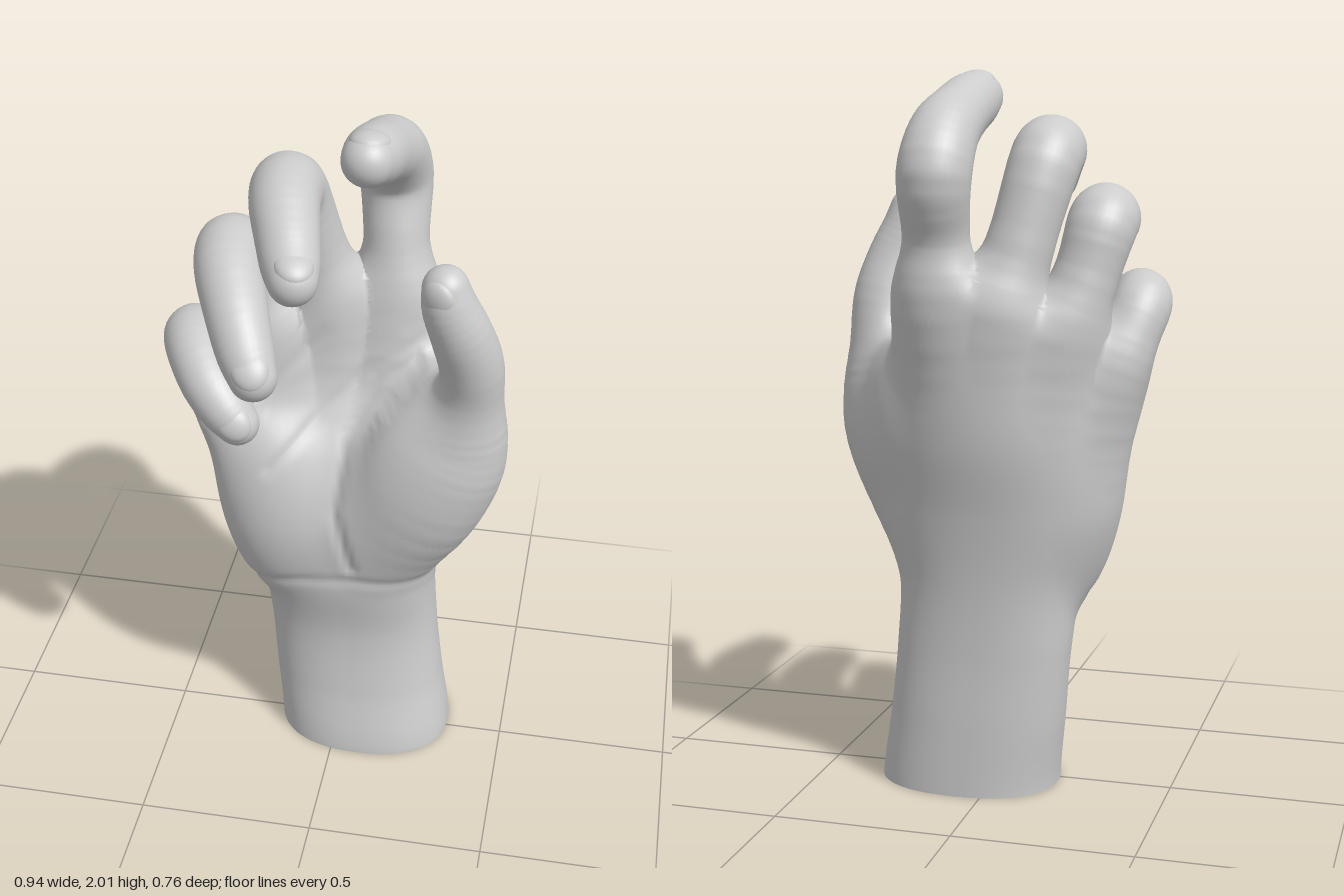
import * as THREE from 'three';

const V = (x, y, z) => new THREE.Vector3(x, y, z);
const { clamp, smoothstep } = THREE.MathUtils;
const skin = new THREE.MeshStandardMaterial({ color: 0xcccccc, roughness: 0.8 });

// Forearm and palm sections every 0.2 in y: centre x, half width, centre z, half depth, arch
const SECTIONS = [
  [0.078, 0.257, -0.03, 0.2, 0], [0.052, 0.252, -0.05, 0.176, 0], [0.032, 0.25, -0.058, 0.16, 0],
  [0.015, 0.262, -0.05, 0.172, 0.1], [-0.005, 0.322, -0.065, 0.18, 0.25], [-0.035, 0.338, -0.12, 0.165, 0.6],
  [-0.075, 0.335, -0.19, 0.118, 1], [-0.1, 0.32, -0.218, 0.1, 1.1], [-0.1, 0.28, -0.218, 0.08, 1.1],
];
const POWER = 2.3;

// Digits: joint centres with radius, the way the nail faces, and the blend width into the palm
const DIGITS = {
  indexFinger: { nail: [0, 1, 0], blend: 0.09, path: [
    [0.1, 1.12, -0.13, 0.06], [0.122, 1.38, -0.215, 0.1], [0.113, 1.56, -0.235, 0.09], [0.103, 1.73, -0.282, 0.1],
    [0.1, 1.83, -0.212, 0.095], [0.092, 1.885, -0.1, 0.085], [0.085, 1.916, -0.01, 0.081], [0.08, 1.932, 0.054, 0.069]] },
  middleFinger: { nail: [0.2, 1, 0.3], blend: 0.09, path: [
    [-0.04, 1.12, -0.13, 0.06], [-0.055, 1.38, -0.163, 0.1], [-0.105, 1.58, -0.14, 0.092], [-0.147, 1.77, -0.07, 0.098],
    [-0.138, 1.787, 0.04, 0.093], [-0.108, 1.745, 0.15, 0.084], [-0.088, 1.708, 0.215, 0.077], [-0.073, 1.69, 0.265, 0.065]] },
  ringFinger: { nail: [0.2, 0.5, 1], blend: 0.09, path: [
    [-0.16, 1.04, -0.09, 0.06], [-0.21, 1.3, -0.108, 0.1], [-0.265, 1.47, -0.08, 0.09], [-0.295, 1.595, -0.035, 0.097],
    [-0.283, 1.6, 0.07, 0.093], [-0.235, 1.54, 0.2, 0.084], [-0.197, 1.472, 0.275, 0.076], [-0.17, 1.425, 0.314, 0.064]] },
  littleFinger: { nail: [0.1, 0.4, 1], blend: 0.08, path: [
    [-0.26, 0.94, -0.03, 0.05], [-0.325, 1.17, -0.04, 0.088], [-0.365, 1.29, -0.005, 0.084], [-0.387, 1.37, 0.05, 0.085],
    [-0.367, 1.38, 0.13, 0.081], [-0.312, 1.335, 0.223, 0.075], [-0.262, 1.285, 0.26, 0.069], [-0.226, 1.248, 0.272, 0.059]] },
  thumb: { nail: [-0.4, 0.1, 1], blend: 0.12, path: [
    [0.19, 0.72, -0.03, 0.07], [0.275, 0.86, 0.01, 0.115], [0.335, 0.99, 0.015, 0.122], [0.366, 1.09, 0.02, 0.103],
    [0.37, 1.23, 0.035, 0.085], [0.363, 1.37, 0.06, 0.087], [0.335, 1.48, 0.09, 0.082], [0.304, 1.565, 0.104, 0.073], [0.293, 1.617, 0.106, 0.062]] },
};

// Palm and wrist creases as lines in x and y, with their depth
const CREASES = [
  [0.005, [-0.25, 0.57], [-0.1, 0.61], [0.05, 0.63], [0.28, 0.62]],
  [0.009, [0.2, 1.27], [0.1, 1.21], [0.02, 1.06], [0, 0.86], [0.05, 0.68]],
  [0.006, [0.2, 1.32], [0.05, 1.22], [-0.18, 0.99]],
  [0.006, [-0.38, 1.12], [-0.2, 1.2], [-0.05, 1.35]],
];

const smin = (a, b, k) => Math.min(a, b) - Math.max(k - Math.abs(a - b), 0) ** 2 / (4 * k);
const topAt = x => 1.47 + 0.5 * Math.min(x, 0.03); // slanted knuckle line
const archAt = (x, amount) => amount * (x - 0.1) ** 2;

function sectionAt(y) {
  const s = clamp(y / 0.2, 0, 7.999), i = Math.floor(s), t = s - i;
  const [p, q, r, w] = [Math.max(i - 1, 0), i, i + 1, Math.min(i + 2, 8)].map(n => SECTIONS[n]);
  return q.map((b, n) => b + 0.5 * t * (r[n] - p[n] + t * (2 * p[n] - 5 * b + 4 * r[n] - w[n] + t * (3 * (b - r[n]) + w[n] - p[n]))));
}

function ellipsoid(x, y, z, a, b, c) {
  const n = Math.hypot(x / a, y / b, z / c);
  return n * (n - 1) / Math.max(Math.hypot(x / a / a, y / b / b, z / c / c), 1e-4);
}

function creaseDepth(x, y) {
  let sum = 0;
  for (const [depth, ...line] of CREASES) {
    let near = 9;
    for (let i = 1; i < line.length; i++) {
      const [ax, ay] = line[i - 1], dx = line[i][0] - ax, dy = line[i][1] - ay;
      const h = clamp(((x - ax) * dx + (y - ay) * dy) / (dx * dx + dy * dy), 0, 1);
      near = Math.min(near, Math.hypot(x - ax - h * dx, y - ay - h * dy));
    }
    sum += depth * Math.exp(-((near / 0.018) ** 2));
  }
  return sum;
}

// Signed distance to forearm, palm, the two fleshy pads and the web behind the thumb
function palmField(x, y, z) {
  const [xc, a, zc, b, arch] = sectionAt(y), dx = x - xc, dz = z - zc - archAt(x, arch);
  const n = (Math.abs(dx / a) ** POWER + Math.abs(dz / b) ** POWER) ** (1 / POWER);
  let f = n * (n - 1) / Math.max(Math.hypot(dx / a / a, dz / b / b), 1e-4);
  f = -smin(-f, -(y - topAt(x)) / 1.1, 0.1);
  const u = x - 0.19, v = y - 0.92; // thumb pad leans outward
  f = smin(f, ellipsoid(u * 0.95 - v * 0.3, u * 0.3 + v * 0.95, z - 0.025, 0.16, 0.32, 0.13), 0.08);
  f = smin(f, ellipsoid(x + 0.19, y - 0.82, z - 0.01, 0.14, 0.28, 0.125), 0.08);
  f = smin(f, ellipsoid(x - 0.25, y - 1.07, z + 0.1, 0.1, 0.2, 0.1), 0.08);
  return f + creaseDepth(x, y) * smoothstep(dz, 0, 0.06);
}

// Sample a digit's curve into a chain of tapered capsules
function makeDigit({ path, nail, blend }) {
  const curve = new THREE.CatmullRomCurve3(path.map(p => V(p[0], p[1], p[2])));
  const radii = new THREE.CatmullRomCurve3(path.map((p, i) => V(p[3], i, 0)), false, 'catmullrom');
  const at = t => ({ p: curve.getPoint(t), r: radii.getPoint(t).x });
  const chain = Array.from({ length: 29 }, (_, i) => at(i / 28));
  const field = (x, y, z) => {
    let best = 9;
    for (let i = 1; i < chain.length; i++) {
      const A = chain[i - 1], B = chain[i];
      const dx = B.p.x - A.p.x, dy = B.p.y - A.p.y, dz = B.p.z - A.p.z;
      const px = x - A.p.x, py = y - A.p.y, pz = z - A.p.z;
      const h = clamp((px * dx + py * dy + pz * dz) / (dx * dx + dy * dy + dz * dz), 0, 1);
      best = Math.min(best, Math.hypot(px - h * dx, py - h * dy, pz - h * dz) - A.r - h * (B.r - A.r));
    }
    return best;
  };
  return { curve, at, nail, field, blend };
}

const gradient = (f, p, e) => V(f(p.x + e, p.y, p.z) - f(p.x - e, p.y, p.z), f(p.x, p.y + e, p.z) - f(p.x, p.y - e, p.z),
  f(p.x, p.y, p.z + e) - f(p.x, p.y, p.z - e)).divideScalar(2 * e);

// Loft a grid of rings and ease its vertices onto the blended skin.
// Where rival is positive a neighbouring part owns the skin, so this one tucks under it.
function loft(name, rows, cols, pointAt, field, rival, flatBase) {
  const pos = [], nor = [], index = [];
  for (let i = 0; i <= rows; i++) for (let j = 0; j <= cols; j++) {
    const p = pointAt(i, (j % cols) / cols * Math.PI * 2);
    const locked = flatBase && i === 0;
    for (let k = 0; k < 6 && !locked; k++) {
      const d = field(p.x, p.y, p.z);
      if (d < -0.06) break; // buried inside a neighbouring part
      const g = gradient(field, p, 0.004);
      p.addScaledVector(g, -clamp(d / Math.max(g.lengthSq(), 0.2), -0.05, 0.05));
      if (flatBase) p.y = Math.max(p.y, 0);
    }
    const normal = gradient(field, p, 0.009).normalize();
    p.addScaledVector(normal, -0.01 * smoothstep(rival(p.x, p.y, p.z), 0.015, 0.05));
    pos.push(...p);
    nor.push(...normal);
    if (i < rows && j < cols) {
      const a = i * (cols + 1) + j, c = a + cols + 1;
      index.push(a, c, a + 1, a + 1, c, c + 1);
    }
  }
  const geo = new THREE.BufferGeometry().setIndex(index);
  geo.setAttribute('position', new THREE.Float32BufferAttribute(pos, 3));
  geo.setAttribute('normal', new THREE.Float32BufferAttribute(nor, 3));
  return named(name, geo);
}

function named(name, geometry) {
  const mesh = new THREE.Mesh(geometry, skin);
  mesh.name = name;
  return mesh;
}

// Point on a forearm or palm section, scaled toward its centre by s
function sectionPoint(y, angle, s = 1) {
  const [xc, a, zc, b, arch] = sectionAt(y), c = Math.cos(angle), n = Math.sin(angle);
  const k = s / (Math.abs(c) ** POWER + Math.abs(n) ** POWER) ** (1 / POWER), x = xc + a * c * k;
  return V(x, y, zc + b * n * k + archAt(x, arch));
}

export function createModel() {
  const hand = new THREE.Group();
  hand.name = 'hand';
  const digits = Object.entries(DIGITS).map(([name, spec]) => ({ name, ...makeDigit(spec) }));

  // Forearm and palm, shrunk inward onto the pads and closed over at the knuckle line
  const wall = 120, cap = 10;
  const whole = (x, y, z) => {
    const palm = palmField(x, y, z);
    return Math.min(...digits.map(d => smin(palm, d.field(x, y, z), d.blend)));
  };
  const palmRival = (x, y, z) => palmField(x, y, z) - Math.min(...digits.map(d => d.field(x, y, z)));
  hand.add(loft('forearmAndPalm', wall + cap, 112, (i, angle) => {
    const v = Math.min(i / wall, 1), p = sectionPoint(v * 1.4, angle, 1 - Math.max(i - wall, 0) / cap);
    p.y = v * topAt(p.x);
    if (i === 0 || i >= wall) return p;
    const [, a, , b] = sectionAt(p.y), out = V(Math.cos(angle) / a, 0, Math.sin(angle) / b).normalize();
    let offset = 0.16;
    for (let k = 0; k < 30 && offset > -0.02; k++) {
      const q = p.clone().addScaledVector(out, offset);
      offset -= palmField(q.x, q.y, q.z) * 0.8;
    }
    return p.addScaledVector(out, Math.max(offset, -0.02));
  }, whole, palmRival, true));

  // Flat cut under the forearm
  const outline = Array.from({ length: 112 }, (_, j) => sectionPoint(0, j / 56 * Math.PI)).map(p => new THREE.Vector2(p.x, p.z));
  hand.add(named('forearmCut', new THREE.ShapeGeometry(new THREE.Shape(outline)).rotateX(Math.PI / 2)));

  // Fingers and thumb with rounded tips and nails
  const body = 72, tip = 10;
  for (const d of digits) {
    const blended = (x, y, z) => smin(palmField(x, y, z), d.field(x, y, z), d.blend);
    hand.add(loft(d.name, body + tip, 36, (i, angle) => {
      const t = Math.min(i / body, 1), phi = Math.max(i - body, 0) / tip * Math.PI / 2;
      const { p, r } = d.at(t), T = d.curve.getTangent(t), ring = r * Math.cos(phi);
      const N = V(1, 0, 0).addScaledVector(T, -T.x).normalize(), B = T.clone().cross(N);
      return p.addScaledVector(T, r * Math.sin(phi))
        .addScaledVector(N, ring * Math.cos(angle)).addScaledVector(B, -ring * Math.sin(angle));
    }, blended, (x, y, z) => d.field(x, y, z) - palmField(x, y, z), false));

    const { p, r } = d.at(0.97), T = d.curve.getTangent(0.97), up = V(...d.nail);
    up.addScaledVector(T, -T.dot(up)).normalize();
    const nail = named(d.name + 'Nail', new THREE.SphereGeometry(1, 24, 16));
    nail.scale.set(r * 0.76, r * 0.45, r * 0.88);
    nail.quaternion.setFromRotationMatrix(new THREE.Matrix4().makeBasis(up.clone().cross(T), up, T));
    nail.position.copy(p).addScaledVector(up, r * 0.6);
    hand.add(nail);
  }
  return hand;
}
